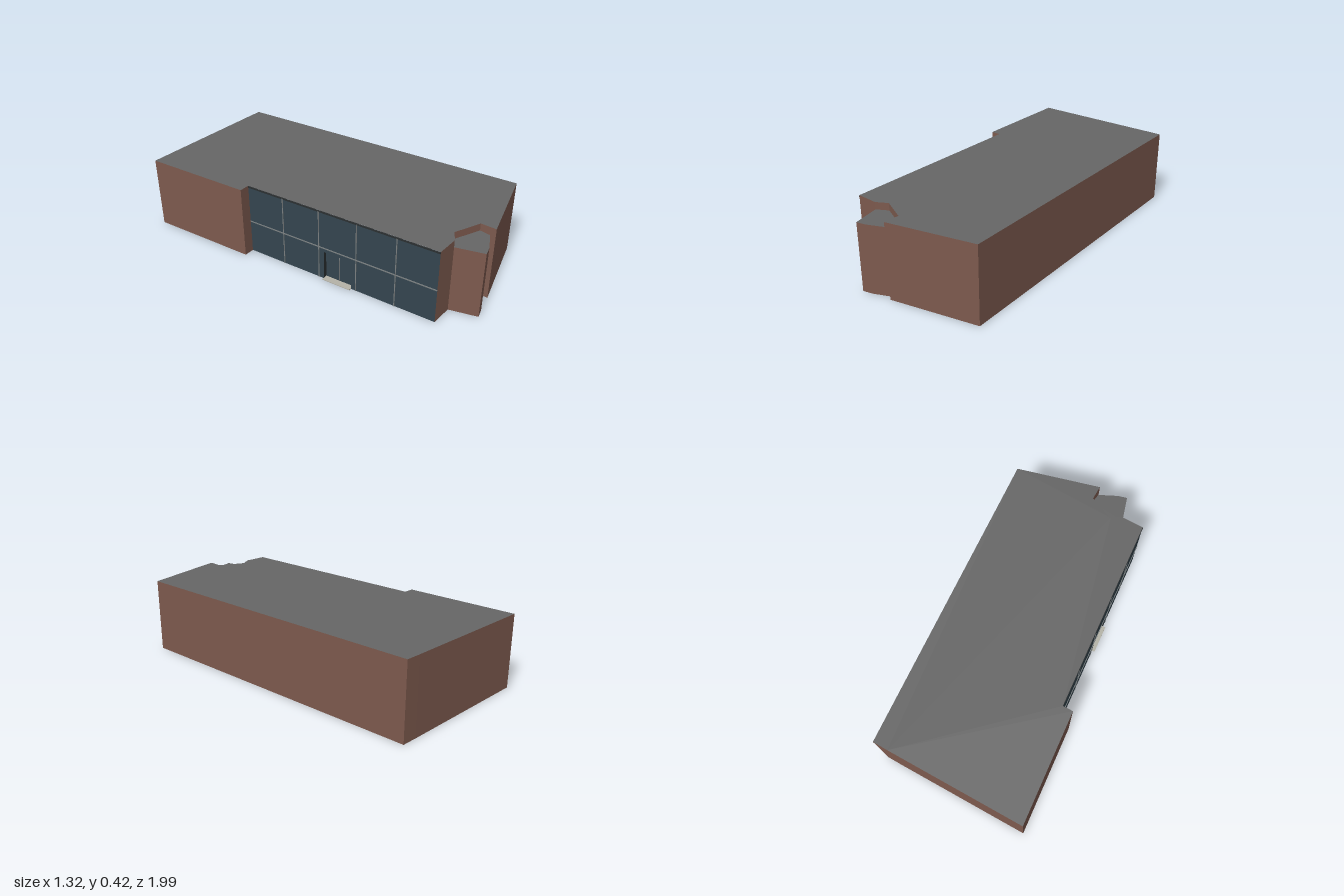
import * as THREE from 'three';

const mat = (color) => new THREE.MeshStandardMaterial({ color, side: THREE.DoubleSide, flatShading: true });
const brick = mat(0x7d5a4e), roofGrey = mat(0x666666), glass = mat(0x34454f);
const frameGrey = mat(0x7a7f80), stepGrey = mat(0xb5b3a8), darkTrim = mat(0x2b2f31);

// the roof is very slightly tilted
const roofY = (x, z) => 0.4205 + 0.0055 * x - 0.001 * z;
const BAY_Y = 0.38;

// plan corners [x, z], listed so that walls face outward
const back = [[0.655, 0.717], [0.196, -1.0], [0.11, -0.985], [-0.66, -0.84], [-0.495, -0.228], [-0.437, -0.24]];
const front = [[-0.143, 0.87], [-0.02, 0.85]];
const recess = [[-0.02, 0.85], [0.035, 0.803], [0.19, 0.84]];
const side = [[0.19, 0.84], [0.205, 0.925], [0.655, 0.717]];
const bay = [[-0.02, 0.85], [0.05, 0.99], [0.1, 0.967], [0.193, 0.9], [0.19, 0.84]];

// upright wall panels along a plan line, from yBase up to the height rule
function wall(name, line, yBase, top) {
  const pos = [];
  for (let i = 0; i < line.length - 1; i++) {
    const [ax, az] = line[i], [bx, bz] = line[i + 1];
    const a = [ax, yBase, az], b = [bx, yBase, bz];
    const c = [bx, top(bx, bz), bz], d = [ax, top(ax, az), az];
    pos.push(...a, ...b, ...c, ...a, ...c, ...d);
  }
  const g = new THREE.BufferGeometry();
  g.setAttribute('position', new THREE.Float32BufferAttribute(pos, 3));
  g.computeVertexNormals();
  const m = new THREE.Mesh(g, brick);
  m.name = name;
  return m;
}

// flat roof over a plan outline
function roof(name, outline, top) {
  const g = new THREE.ShapeGeometry(new THREE.Shape(outline.map(([x, z]) => new THREE.Vector2(x, -z))));
  g.rotateX(-Math.PI / 2);
  const p = g.attributes.position;
  for (let i = 0; i < p.count; i++) p.setY(i, top(p.getX(i), p.getZ(i)));
  g.computeVertexNormals();
  const m = new THREE.Mesh(g, roofGrey);
  m.name = name;
  return m;
}

// glazed wall, local x along the facade and local z outward
function glazing() {
  const group = new THREE.Group();
  group.name = 'glassFacade';
  const [ax, az] = back[back.length - 1], [bx, bz] = front[0];
  const L = Math.hypot(bx - ax, bz - az), H = 0.412;
  group.position.set(ax, 0, az);
  group.rotation.y = Math.atan2(-(bz - az), bx - ax);

  const box = (name, w, h, d, x, y, z, m) => {
    const b = new THREE.Mesh(new THREE.BoxGeometry(w, h, d), m);
    b.name = name;
    b.position.set(x, y, z);
    group.add(b);
  };
  const plane = (name, w, h, x, y, z, m, rx = 0, ry = 0) => {
    const p = new THREE.Mesh(new THREE.PlaneGeometry(w, h), m);
    p.name = name;
    p.position.set(x, y, z);
    p.rotation.set(rx, ry, 0);
    group.add(p);
  };

  // glass sheet with the doorway cut out
  const x0 = 0.49, x1 = 0.66, doorH = 0.17, depth = 0.022;
  const s = new THREE.Shape([[0, 0], [x0, 0], [x0, doorH], [x1, doorH], [x1, 0], [L, 0], [L, H], [0, H]]
    .map(([x, y]) => new THREE.Vector2(x, y)));
  const sheet = new THREE.Mesh(new THREE.ShapeGeometry(s), glass);
  sheet.name = 'glassPanes';
  group.add(sheet);

  // mullions, transom and fascia
  for (let i = 1; i < 5; i++) box('mullion', 0.005, H, 0.006, (L * i) / 5, H / 2, 0, frameGrey);
  box('transom', L, 0.005, 0.008, L / 2, 0.195, 0, frameGrey);
  box('fascia', L, 0.008, 0.006, L / 2, H, 0, darkTrim);

  // recessed doorway
  const mid = (x0 + x1) / 2, w = x1 - x0;
  plane('door', w, doorH, mid, doorH / 2, -depth, glass);
  box('doorDivider', 0.004, doorH, 0.004, mid, doorH / 2, -depth, frameGrey);
  for (const x of [x0, x1]) plane('doorJamb', depth, doorH, x, doorH / 2, -depth / 2, darkTrim, 0, Math.PI / 2);
  plane('doorLintel', w, depth, mid, doorH, -depth / 2, darkTrim, Math.PI / 2);
  box('doorStep', w, 0.004, depth + 0.016, mid, 0.002, (0.016 - depth) / 2, stepGrey);
  return group;
}

export function createModel() {
  const model = new THREE.Group();
  model.name = 'building';
  const bayTop = () => BAY_Y;
  model.add(
    wall('mainWalls', back, 0, roofY),
    wall('frontWall', front, 0, roofY),
    wall('sideWalls', side, 0, roofY),
    wall('wallAboveBay', recess, BAY_Y, roofY),
    wall('bayWalls', bay, 0, bayTop),
    roof('mainRoof', [...back, ...front, ...recess.slice(1), side[1]], roofY),
    roof('bayRoof', [...bay, recess[1]], bayTop),
    glazing(),
  );
  return model;
}
